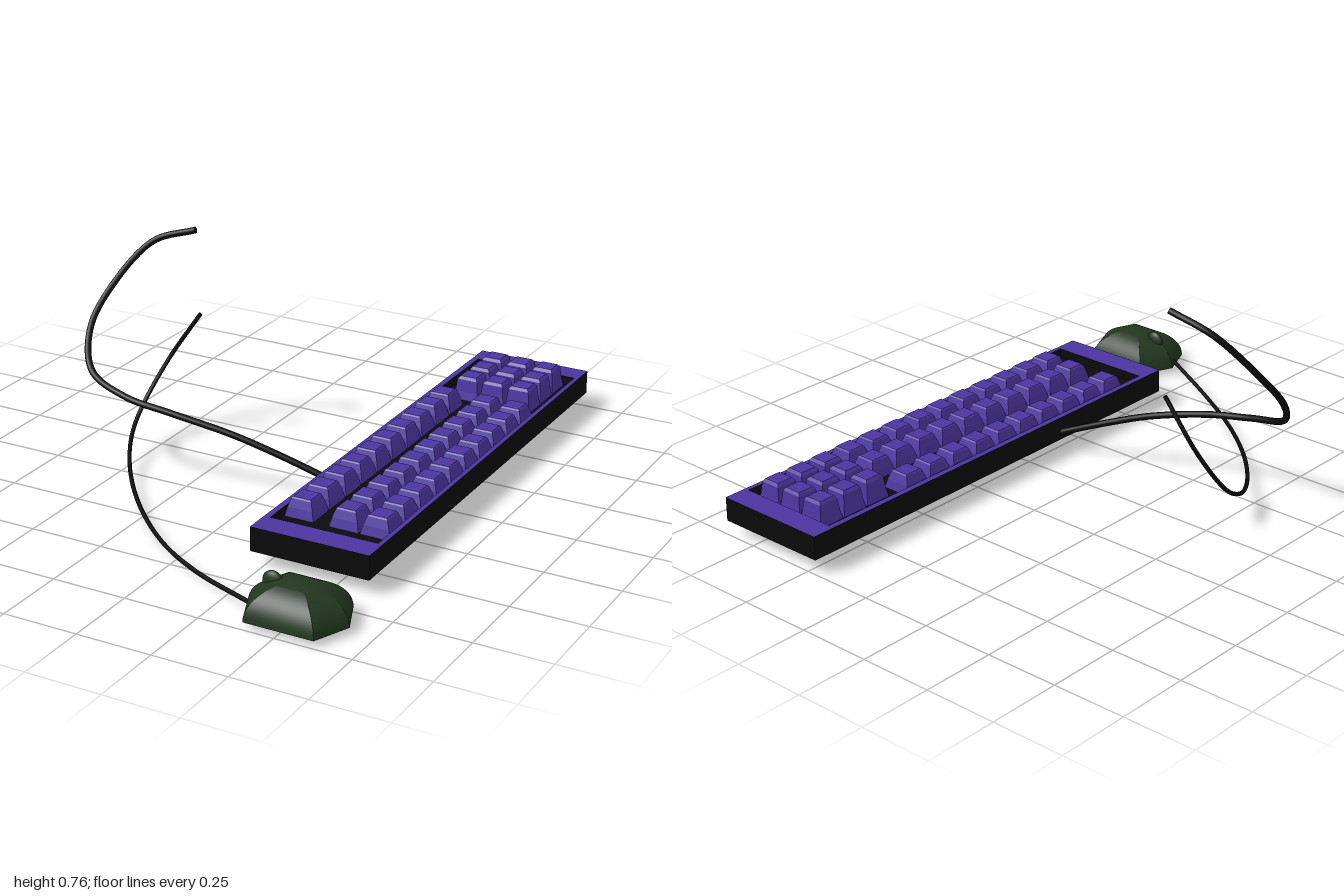
import * as THREE from 'three';
import { toCreasedNormals } from 'three/addons/utils/BufferGeometryUtils.js';

const mat = (color, extra = {}) => new THREE.MeshStandardMaterial({ color, ...extra });

export function createModel() {
  const root = new THREE.Group();
  const black = mat(0x0b0b0b);
  const purple = mat(0x4b36a0);
  const purpleFlat = mat(0x4b36a0, { flatShading: true });
  const green = mat(0x22361f, { side: THREE.DoubleSide });

  const add = (parent, name, geometry, material, x = 0, y = 0, z = 0) => {
    const mesh = new THREE.Mesh(geometry, material);
    mesh.name = name;
    mesh.position.set(x, y, z);
    parent.add(mesh);
    return mesh;
  };

  // Keyboard case: black tray, black walls, purple rim around the key well
  const keyboard = new THREE.Group();
  keyboard.name = 'keyboard';
  root.add(keyboard);

  const rect = (PathType, x0, x1, z0, z1) => new PathType([
    new THREE.Vector2(x0, -z1), new THREE.Vector2(x1, -z1),
    new THREE.Vector2(x1, -z0), new THREE.Vector2(x0, -z0),
  ]);
  const rim = rect(THREE.Shape, 0.215, 0.615, -1, 0.64);
  rim.holes.push(rect(THREE.Path, 0.235, 0.6, -0.92, 0.555));

  add(keyboard, 'caseBottom', new THREE.BoxGeometry(0.4, 0.05, 1.64), black, 0.415, 0.075, -0.18);
  const walls = new THREE.ExtrudeGeometry(rim, { depth: 0.03, bevelEnabled: false }).rotateX(-Math.PI / 2);
  add(keyboard, 'caseWalls', walls, black, 0, 0.1, 0);
  add(keyboard, 'topRim', new THREE.ShapeGeometry(rim).rotateX(-Math.PI / 2), purple, 0, 0.131, 0);

  // Keycap: square stack of tapering sections, as [half width, height]
  const keycap = (sections) => {
    const profile = sections.map(([half, y]) => new THREE.Vector2(half * Math.SQRT2, y));
    profile.push(new THREE.Vector2(0, sections[sections.length - 1][1]));
    return new THREE.LatheGeometry(profile, 4, Math.PI / 4);
  };
  const lowKey = keycap([[0.05, 0], [0.043, 0.03], [0.034, 0.057], [0.03, 0.062]]);
  const tallKey = keycap([[0.047, 0], [0.041, 0.03], [0.036, 0.07], [0.029, 0.08]]);

  // Main block: three columns of ten keys
  for (const x of [0.286, 0.439, 0.545]) {
    for (let i = 0; i < 10; i++) add(keyboard, 'key', lowKey, purpleFlat, x, 0.1, 0.42 - 0.106 * i);
  }
  // Number pad: three by three taller keys
  for (let c = 0; c < 3; c++) {
    for (let r = 0; r < 3; r++) {
      add(keyboard, 'numberPadKey', tallKey, purpleFlat, 0.328 + 0.0945 * c, 0.1, -0.865 + 0.099 * r);
    }
  }

  // Mouse: six-sided dome stretched sideways, with a scroll wheel
  const mouse = new THREE.Group();
  mouse.name = 'mouse';
  mouse.position.set(0.51, 0.022, 0.875);
  root.add(mouse);

  const arc = [];
  for (let i = 0; i <= 12; i++) {
    const a = (i / 12) * Math.PI / 2;
    arc.push(new THREE.Vector2(i === 12 ? 0 : Math.cos(a), Math.sin(a)));
  }
  const dome = new THREE.LatheGeometry(arc, 6, Math.PI / 2);
  const p = dome.attributes.position;
  for (let i = 0; i < p.count; i++) {
    const x = p.getX(i), z = p.getZ(i);
    const onAxis = Math.abs(z) < 1e-4;
    p.setXYZ(i, x * (onAxis ? 0.166 : 0.23), p.getY(i) * 0.108, z * 0.1386);
  }
  add(mouse, 'mouseShell', toCreasedNormals(dome, 0.35), green);
  const wheel = add(mouse, 'scrollWheel', new THREE.SphereGeometry(1, 20, 12), green, -0.083, 0.085, 0);
  wheel.scale.set(0.034, 0.034, 0.016);

  // Cables: smooth tubes with closed ends
  const cable = (name, radius, points) => {
    const group = new THREE.Group();
    group.name = name;
    root.add(group);
    const curve = new THREE.CatmullRomCurve3(points.map((q) => new THREE.Vector3(...q)));
    add(group, 'cord', new THREE.TubeGeometry(curve, 120, radius, 10), black);
    for (const t of [0, 1]) {
      const end = add(group, 'cordEnd', new THREE.CircleGeometry(radius, 10), black);
      const at = curve.getPointAt(t);
      end.position.copy(at);
      end.lookAt(at.clone().addScaledVector(curve.getTangentAt(t), t ? 1 : -1));
    }
  };
  cable('keyboardCable', 0.011, [
    [-0.405, 0.748, -0.083], [-0.55, 0.695, -0.05], [-0.645, 0.56, 0.05], [-0.67, 0.44, 0.15],
    [-0.61, 0.33, 0.24], [-0.46, 0.28, 0.276], [-0.3, 0.25, 0.26], [-0.1, 0.2, 0.213],
    [0.05, 0.145, 0.172], [0.225, 0.072, 0.125],
  ]);
  cable('mouseCable', 0.007, [
    [-0.39, 0.46, -0.08], [-0.5, 0.29, -0.055], [-0.549, 0.15, 0.03], [-0.53, 0.09, 0.13],
    [-0.45, 0.048, 0.275], [-0.3, 0.022, 0.46], [-0.1, 0.008, 0.64], [0.1, 0.013, 0.77],
    [0.37, 0.038, 0.908],
  ]);

  return root;
}
